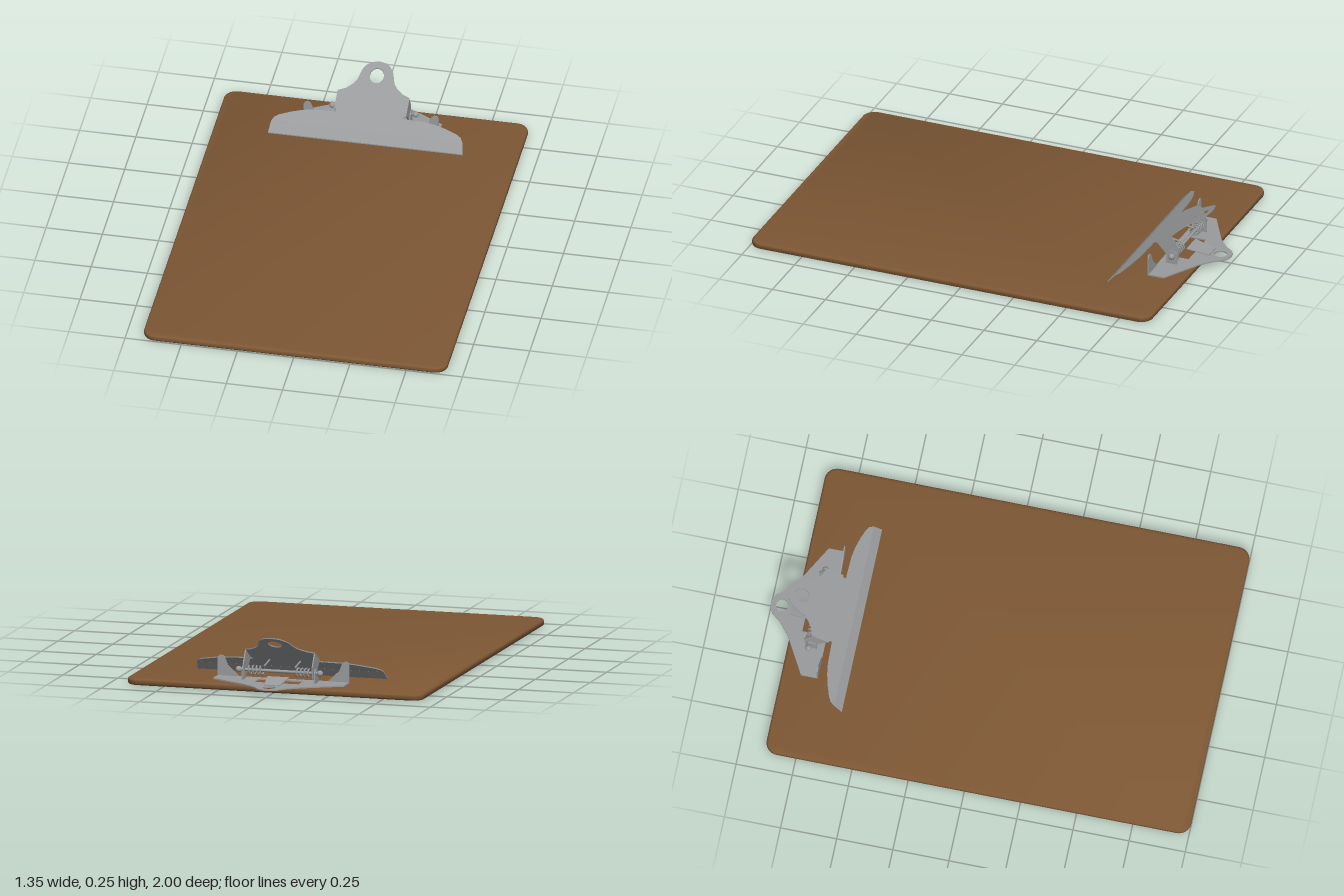
import * as THREE from 'three';
import { toCreasedNormals } from 'three/addons/utils/BufferGeometryUtils.js';

const wood = new THREE.MeshStandardMaterial({ color: 0x7d5734 });
wood.name = 'brown board';
const steel = new THREE.MeshStandardMaterial({ color: 0x999b9d });
steel.name = 'grey steel';

// Closed shape mirrored about x = 0, from its right half listed front to back
function mirroredShape(half) {
  const left = half.filter(([x]) => x > 0).reverse().map(([x, s]) => [-x, s]);
  return new THREE.Shape([...half, ...left].map(([x, s]) => new THREE.Vector2(x, s)));
}

function polygon(points) {
  return new THREE.Shape(points.map(([x, y]) => new THREE.Vector2(x, y)));
}

function circleHole(x, y, r) {
  return new THREE.Path().absarc(x, y, r, 0, Math.PI * 2, true);
}

function extrude(shape, depth) {
  return new THREE.ExtrudeGeometry(shape, { depth, bevelEnabled: false, curveSegments: 16 });
}

// Sheet drawn in plan (x, -z), laid at the height given by rise(-z)
function sheet(shape, thickness, rise) {
  const geo = extrude(shape, thickness);
  const p = geo.attributes.position;
  for (let i = 0; i < p.count; i++) {
    const s = p.getY(i);
    p.setXYZ(i, p.getX(i), rise(s) + p.getZ(i), -s);
  }
  return toCreasedNormals(geo, 0.7);
}

// Sheet standing lengthwise, drawn as (-z, y) and centred on x
function sideSheet(points, thickness, x) {
  return extrude(polygon(points), thickness).rotateY(Math.PI / 2).translate(x - thickness / 2, 0, 0);
}

export function createModel() {
  const model = new THREE.Group();
  const add = (name, geo, material = steel, parent = model) => {
    const mesh = new THREE.Mesh(geo, material);
    mesh.name = name;
    parent.add(mesh);
    return mesh;
  };

  // Board with rounded corners and softened edges
  const w = 0.675, back = 0.89, front = -1, r = 0.055;
  const outline = new THREE.Shape();
  outline.absarc(w - r, back - r, r, 0, Math.PI / 2);
  outline.absarc(-w + r, back - r, r, Math.PI / 2, Math.PI);
  outline.absarc(-w + r, front + r, r, Math.PI, Math.PI * 1.5);
  outline.absarc(w - r, front + r, r, Math.PI * 1.5, Math.PI * 2);
  const board = new THREE.ExtrudeGeometry(outline, {
    depth: 0.01, bevelThickness: 0.01, bevelSize: 0.01, bevelOffset: -0.01,
    bevelSegments: 4, curveSegments: 8,
  });
  board.rotateX(-Math.PI / 2).translate(0, 0.01, 0);
  add('board', toCreasedNormals(board, 0.7), wood);

  const clip = new THREE.Group();
  clip.name = 'clip';
  model.add(clip);
  const part = (name, geo) => add(name, geo, steel, clip);

  // Base plate with hanging eye and a window under the spring
  const base = mirroredShape([
    [0.15, 0.73], [0.3, 0.73], [0.3, 0.805], [0.165, 0.88], [0.13, 0.9], [0.1, 0.925],
    [0.075, 0.945], [0.06, 0.965], [0.045, 0.985], [0.025, 0.997], [0, 1],
  ]);
  base.holes.push(circleHole(0, 0.95, 0.028));
  base.holes.push(new THREE.Path([[-0.1, 0.76], [-0.1, 0.84], [0.1, 0.84], [0.1, 0.76]]
    .map(([x, y]) => new THREE.Vector2(x, y))));
  part('basePlate', sheet(base, 0.006, () => 0.03));

  // Raised tongue sloping down to the eye
  part('springTongue', sheet(
    polygon([[-0.05, 0.81], [0.05, 0.81], [0.035, 0.91], [-0.035, 0.91]]),
    0.004, (s) => 0.055 - (s - 0.81) * 0.19));

  // Lever: steep front lip, then the straight sloping body
  const lipRise = (s) => 0.033 + (s - 0.595) * 1.05;
  const bodyRise = (s) => 0.07 + (s - 0.63) * 0.61;
  part('leverLip', sheet(mirroredShape([[0.432, 0.595], [0.425, 0.63]]), 0.005, lipRise));
  const lever = mirroredShape([
    [0.425, 0.63], [0.415, 0.648], [0.395, 0.66], [0.35, 0.675], [0.3, 0.688], [0.25, 0.695],
    [0.15, 0.698], [0.15, 0.708], [0.16, 0.712], [0.16, 0.785], [0.125, 0.797], [0.1, 0.815],
    [0.083, 0.835], [0.075, 0.86], [0.068, 0.88], [0.055, 0.898], [0.035, 0.912], [0, 0.919],
  ]);
  lever.holes.push(circleHole(0, 0.86, 0.031));
  part('leverPlate', sheet(lever, 0.005, bodyRise));

  for (const side of [-1, 1]) {
    const name = side > 0 ? 'left' : 'right';

    // Cheek folded down from the lever
    part(name + 'LeverCheek', sideSheet(
      [[0.715, 0.122], [0.75, 0.085], [0.77, 0.06], [0.815, 0.055], [0.82, 0.11], [0.785, 0.165]],
      0.005, side * 0.157));

    // Bracket standing on the base plate
    part(name + 'BaseBracket', sideSheet(
      [[0.76, 0.033], [0.815, 0.033], [0.812, 0.085], [0.8, 0.097], [0.78, 0.097], [0.765, 0.085]],
      0.005, side * 0.165));

    // Upturned tab at the outer front corner
    const tab = extrude(polygon([
      [0.2, 0.033], [0.3, 0.033], [0.3, 0.115], [0.293, 0.126], [0.282, 0.128], [0.268, 0.12], [0.255, 0.085],
    ].map(([x, y]) => [side * x, y])), 0.005);
    part(name + 'EndTab', tab.translate(0, 0, -0.735));

    // Rounded end of the pivot rod
    const knob = new THREE.SphereGeometry(0.014, 12, 8);
    part(name + 'RodEnd', knob.translate(side * 0.185, 0.08, -0.795));

    // Coil spring around the rod
    const coil = [];
    for (let i = 0; i <= 48; i++) {
      const a = (i / 12) * Math.PI * 2;
      coil.push(new THREE.Vector3(side * (0.07 + i * 0.0014),
        0.08 + Math.cos(a) * 0.018, -0.795 + Math.sin(a) * 0.018));
    }
    part(name + 'Spring', new THREE.TubeGeometry(new THREE.CatmullRomCurve3(coil), 96, 0.004, 6));

    // Spring leg pressing up under the lever
    part(name + 'SpringLeg', new THREE.TubeGeometry(new THREE.LineCurve3(
      new THREE.Vector3(side * 0.07, 0.098, -0.795),
      new THREE.Vector3(side * 0.07, 0.112, -0.71)), 1, 0.004, 6));
  }

  // Pivot rod across the clip
  part('pivotRod', new THREE.CylinderGeometry(0.007, 0.007, 0.38, 10)
    .rotateZ(Math.PI / 2).translate(0, 0.08, -0.795));

  return model;
}
